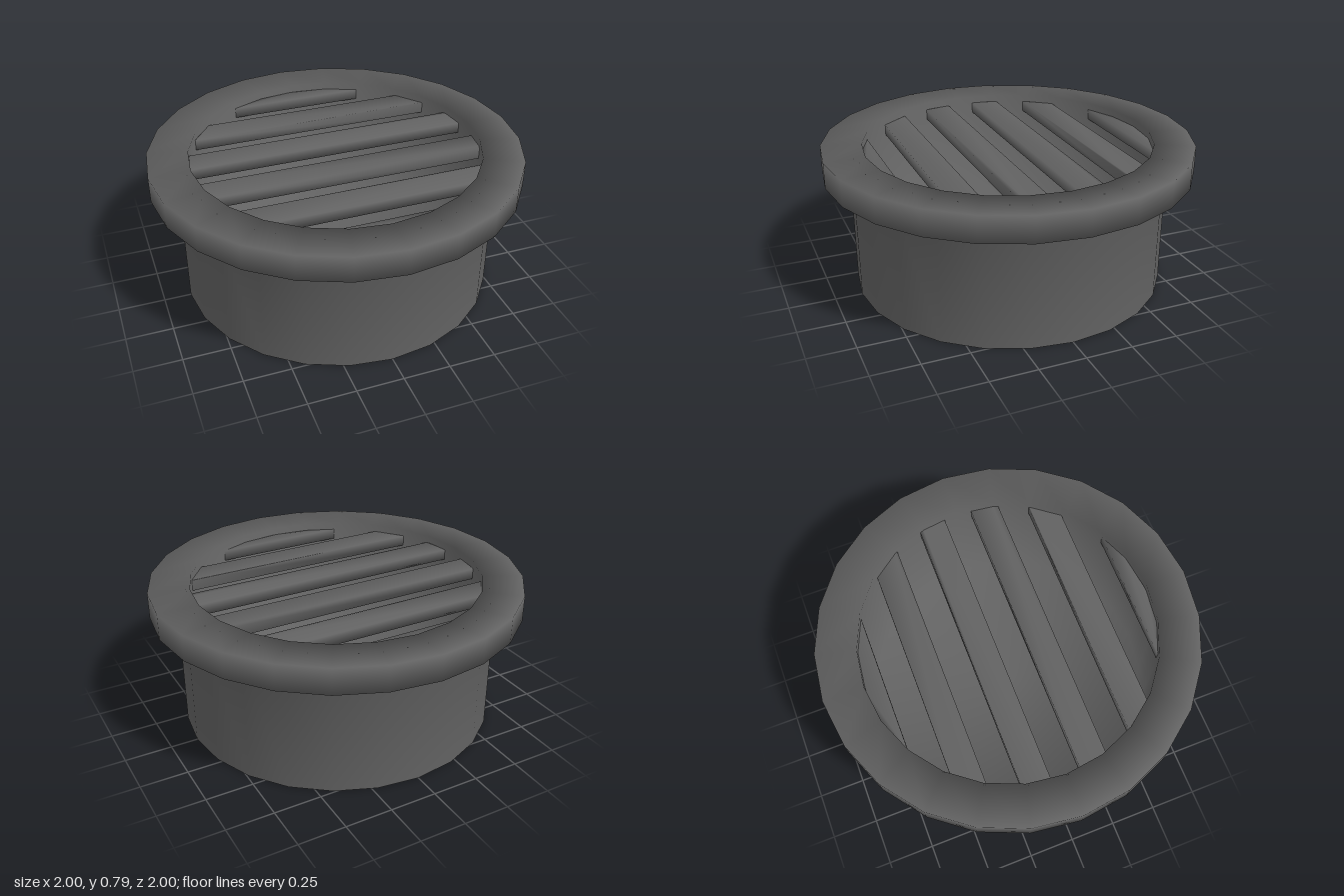
import * as THREE from 'three';
import { mergeVertices } from 'three/addons/utils/BufferGeometryUtils.js';

const SIDES = 24;
const INNER = 0.782;
const material = new THREE.MeshStandardMaterial({ color: 0x626262 });

// Half width of the 24-sided opening at depth z
function halfWidth(z) {
  const step = (2 * Math.PI) / SIDES;
  const a = Math.acos(Math.min(1, Math.abs(z) / INNER));
  const k = Math.floor(a / step);
  const [a0, a1] = [k * step, (k + 1) * step];
  const [z0, z1] = [Math.cos(a0) * INNER, Math.cos(a1) * INNER];
  const t = (Math.abs(z) - z0) / (z1 - z0);
  return INNER * THREE.MathUtils.lerp(Math.sin(a0), Math.sin(a1), t);
}

// Softly shaded slat running along x, its ends cut to the round wall
function slatGeometry(zMin, zMax, bottom, top) {
  const stops = [zMin];
  for (let k = SIDES / 2; k >= 0; k--) {
    const z = INNER * Math.cos((k * 2 * Math.PI) / SIDES);
    if (z > zMin + 1e-3 && z < zMax - 1e-3) stops.push(z);
  }
  stops.push(zMax);
  const right = stops.map((z) => new THREE.Vector2(halfWidth(z), -z));
  const left = stops.map((z) => new THREE.Vector2(-halfWidth(z), -z)).reverse();
  const shape = new THREE.Shape([...right, ...left]);
  const extruded = new THREE.ExtrudeGeometry(shape, { depth: top - bottom, bevelEnabled: false });
  extruded.rotateX(-Math.PI / 2);
  extruded.translate(0, bottom, 0);
  extruded.deleteAttribute('normal');
  extruded.deleteAttribute('uv');
  const geometry = mergeVertices(extruded, 1e-4);
  geometry.computeVertexNormals();
  return geometry;
}

export function createModel() {
  const group = new THREE.Group();
  const add = (name, geometry, parent = group) => {
    const mesh = new THREE.Mesh(geometry, material);
    mesh.name = name;
    parent.add(mesh);
  };
  const lathe = (name, points) =>
    add(name, new THREE.LatheGeometry(points.map(([r, y]) => new THREE.Vector2(r, y)), SIDES));

  // Duct wall, wide flange, inner wall and floor in one softly shaded profile
  lathe('ductAndFlange', [
    [0.855, 0], [0.855, 0.645], [1, 0.645], [1, 0.785],
    [INNER, 0.785], [INNER, 0.07], [0, 0.07],
  ]);

  // Recessed underside with its bevelled lip
  lathe('underside', [[0, 0.057], [INNER, 0.057], [0.855, 0]]);

  // Six thin parallel slats set just below the rim
  const slats = new THREE.Group();
  slats.name = 'slats';
  group.add(slats);
  for (let i = 0; i < 6; i++) {
    const z = 0.003 + (i - 2.5) * 0.304;
    const zMin = Math.max(z - 0.075, -INNER + 0.002);
    const zMax = Math.min(z + 0.075, INNER - 0.002);
    add('slat', slatGeometry(zMin, zMax, 0.685, 0.745), slats);
  }
  return group;
}
